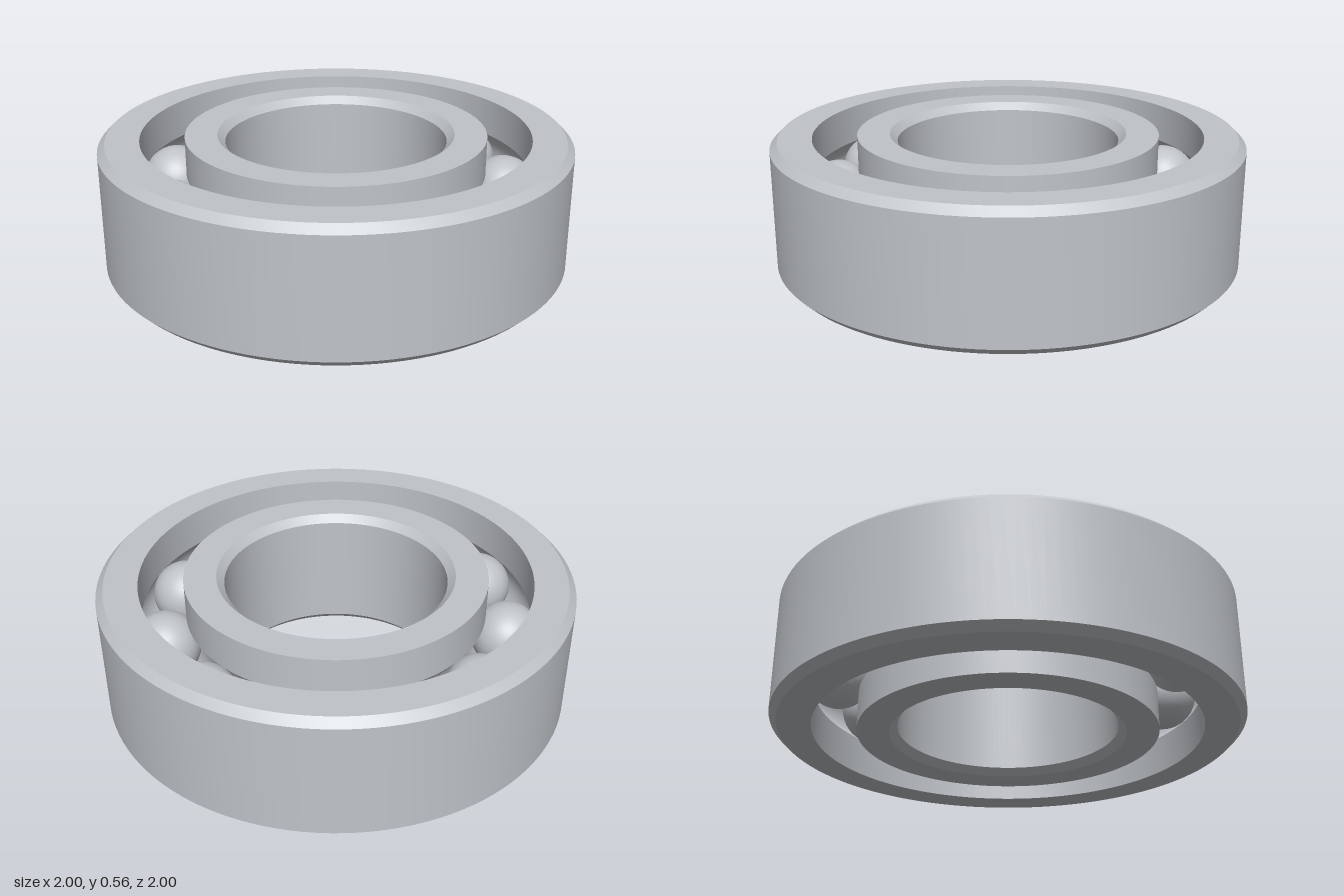
import * as THREE from 'three';
import { toCreasedNormals } from 'three/addons/utils/BufferGeometryUtils.js';

const HEIGHT = 0.564, MID = HEIGHT / 2, CHAMFER = 0.032;
const PITCH = 0.7325, BALL = 0.147, GROOVE = 0.149, BALLS = 11;
const OUTER = 1, OUTER_WALL = 0.826, INNER_WALL = 0.639, BORE = 0.47;

// Arc of the ball track cut into a ring wall; side +1 is the outer ring, -1 the inner
function groove(wall, side) {
  const limit = Math.acos(Math.abs(wall - PITCH) / GROOVE);
  const points = [];
  for (let i = 0; i <= 14; i++) {
    const a = side * limit * (1 - i / 7);
    points.push([PITCH + side * GROOVE * Math.cos(a), MID + GROOVE * Math.sin(a)]);
  }
  return points;
}

// Closed ring turned from a counterclockwise section of [radius, height] points
function ring(name, section, material) {
  const points = [...section, section[0]].map(([r, y]) => new THREE.Vector2(r, y));
  const geometry = toCreasedNormals(new THREE.LatheGeometry(points, 120), 0.4);
  const mesh = new THREE.Mesh(geometry, material);
  mesh.name = name;
  return mesh;
}

export function createModel() {
  const steel = new THREE.MeshStandardMaterial({ color: 0xc0c4c9 });
  steel.name = 'steel';
  const model = new THREE.Group();
  model.name = 'ballBearing';

  // Outer ring, chamfered on its outside edges
  model.add(ring('outerRing', [
    [OUTER_WALL, 0], [OUTER - CHAMFER, 0], [OUTER, CHAMFER],
    [OUTER, HEIGHT - CHAMFER], [OUTER - CHAMFER, HEIGHT], [OUTER_WALL, HEIGHT],
    ...groove(OUTER_WALL, 1),
  ], steel));

  // Inner ring, chamfered at the bore
  model.add(ring('innerRing', [
    [BORE + CHAMFER, 0], [INNER_WALL, 0],
    ...groove(INNER_WALL, -1),
    [INNER_WALL, HEIGHT], [BORE + CHAMFER, HEIGHT],
    [BORE, HEIGHT - CHAMFER], [BORE, CHAMFER],
  ], steel));

  // Balls spaced evenly round the track
  const balls = new THREE.Group();
  balls.name = 'balls';
  const ballGeometry = new THREE.SphereGeometry(BALL, 40, 24);
  for (let i = 0; i < BALLS; i++) {
    const a = (i / BALLS) * Math.PI * 2;
    const ball = new THREE.Mesh(ballGeometry, steel);
    ball.name = 'ball' + (i + 1);
    ball.position.set(PITCH * Math.cos(a), MID, PITCH * Math.sin(a));
    balls.add(ball);
  }
  model.add(balls);
  return model;
}
